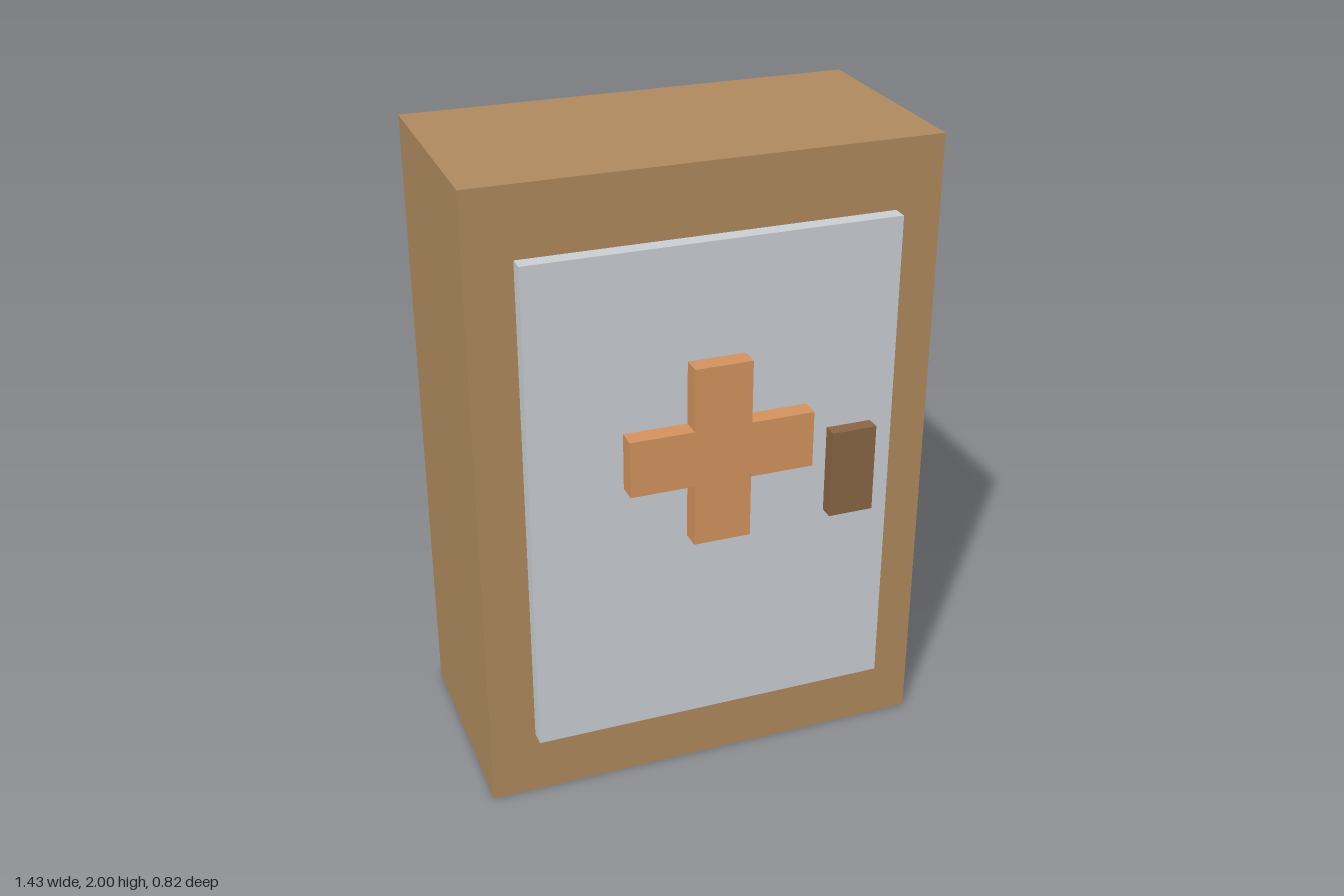
import * as THREE from 'three';

// Box between two corners
function block(name, color, [x0, y0, z0], [x1, y1, z1]) {
  const geometry = new THREE.BoxGeometry(x1 - x0, y1 - y0, z1 - z0);
  const mesh = new THREE.Mesh(geometry, new THREE.MeshStandardMaterial({ color }));
  mesh.position.set((x0 + x1) / 2, (y0 + y1) / 2, (z0 + z1) / 2);
  mesh.name = name;
  return mesh;
}

// Plus-shaped plate, its back on z = 0
function cross(color, reach, half, depth) {
  const points = [];
  for (let i = 0; i < 4; i++) {
    const turn = i * Math.PI / 2;
    for (const [x, y] of [[reach, -half], [reach, half], [half, half]]) {
      points.push(new THREE.Vector2(x, y).rotateAround(new THREE.Vector2(), turn));
    }
  }
  const geometry = new THREE.ExtrudeGeometry(new THREE.Shape(points), { depth, bevelEnabled: false });
  const mesh = new THREE.Mesh(geometry, new THREE.MeshStandardMaterial({ color }));
  mesh.name = 'cross';
  return mesh;
}

export function createModel() {
  const group = new THREE.Group();
  group.name = 'medicineCabinet';

  // Cabinet body, door panel and door handle
  group.add(
    block('cabinetBody', 0xb08a5e, [-0.714, 0, -0.412], [0.714, 2, 0.302]),
    block('door', 0xcbd0d4, [-0.571, 0.214, 0.302], [0.571, 1.786, 0.352]),
    block('handle', 0x8a6644, [0.357, 0.86, 0.352], [0.5, 1.143, 0.397])
  );

  // Raised cross on the door
  const emblem = cross(0xd4935d, 0.286, 0.089, 0.06);
  emblem.position.set(0, 1.146, 0.352);
  group.add(emblem);

  return group;
}
